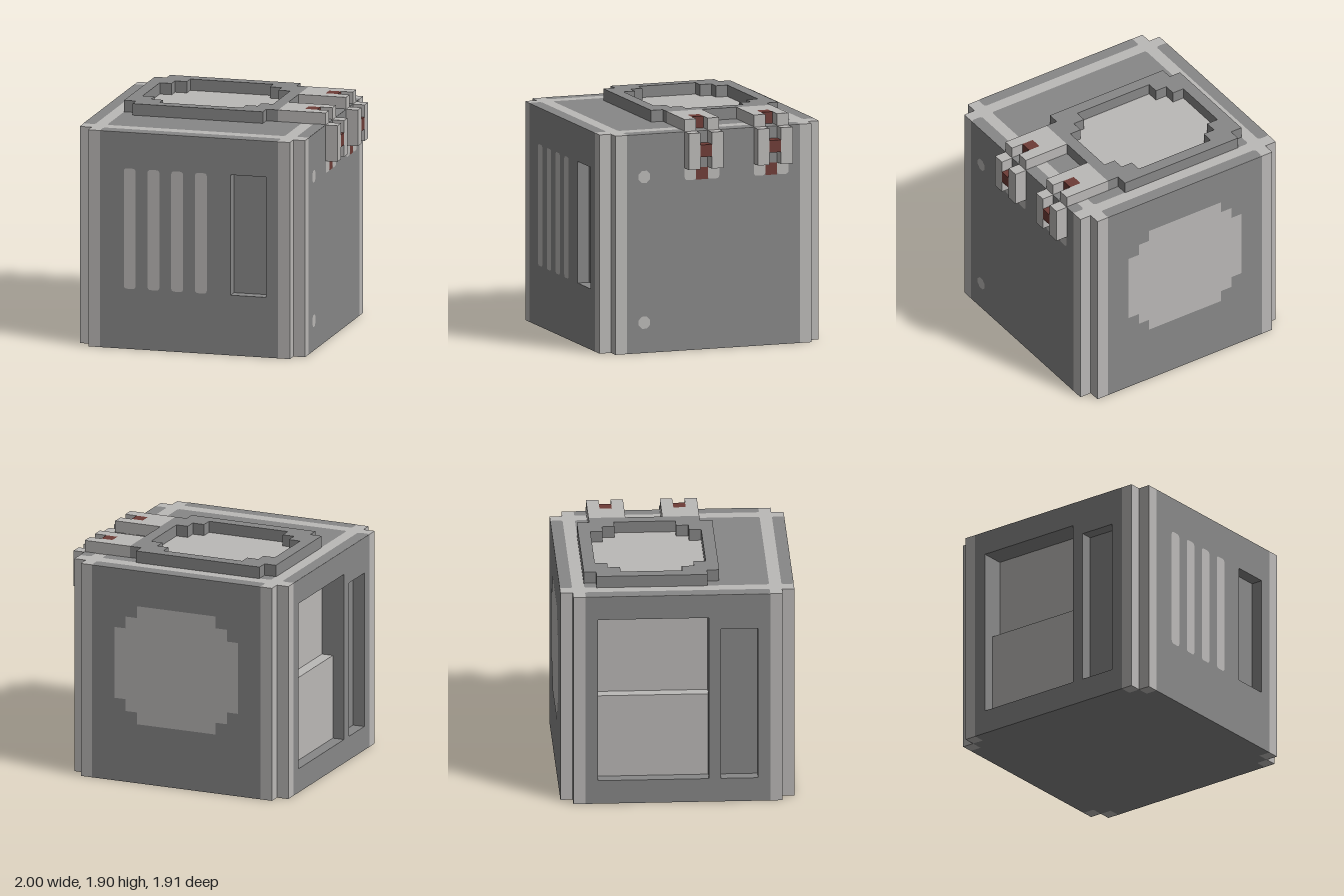
import * as THREE from 'three';

const CX = -0.05; // body centre in x

export function createModel() {
  const model = new THREE.Group();
  model.name = 'voxelMachine';
  const mat = (name, color) => Object.assign(new THREE.MeshStandardMaterial({ color }), { name });
  const grey = mat('midGrey', 0x888888);
  const light = mat('lightGrey', 0xbbb9b7);
  const red = mat('darkRed', 0x6e3c36);

  const add = (name, geometry, material) => {
    const mesh = new THREE.Mesh(geometry, material);
    mesh.name = name;
    model.add(mesh);
  };
  // Box given by its lower and upper corners
  const box = (name, material, x0, x1, y0, y1, z0, z1) => {
    const g = new THREE.BoxGeometry(x1 - x0, y1 - y0, z1 - z0);
    add(name, g.translate((x0 + x1) / 2, (y0 + y1) / 2, (z0 + z1) / 2), material);
  };
  // Flat (depth 0) or extruded shape lying on one side, at a distance along its normal
  const onSide = (name, material, side, shape, offset, depth = 0) => {
    const g = depth
      ? new THREE.ExtrudeGeometry(shape, { depth, bevelEnabled: false })
      : new THREE.ShapeGeometry(shape, 4);
    g.translate(0, 0, offset);
    if (side === 'top') g.rotateX(-Math.PI / 2);
    else g.rotateY({ front: 0, right: Math.PI / 2, back: Math.PI, left: -Math.PI / 2 }[side]);
    add(name, g, material);
  };

  const rect = (x0, x1, y0, y1) => new THREE.Shape([
    new THREE.Vector2(x0, y0), new THREE.Vector2(x1, y0),
    new THREE.Vector2(x1, y1), new THREE.Vector2(x0, y1)]);
  const rounded = (x0, x1, y0, y1, r = 0.025) => {
    const s = new THREE.Shape();
    s.absarc(x1 - r, y1 - r, r, 0, Math.PI / 2);
    s.absarc(x0 + r, y1 - r, r, Math.PI / 2, Math.PI);
    s.absarc(x0 + r, y0 + r, r, Math.PI, Math.PI * 1.5);
    s.absarc(x1 - r, y0 + r, r, Math.PI * 1.5, Math.PI * 2);
    s.closePath();
    return s;
  };
  // Rectangle whose corners are cut into n steps of 0.1
  const stepped = (cx, cy, hw, hh, n) => {
    const q = [];
    for (let k = 0; k <= n; k++) {
      const y = hh - (n - k) * 0.1;
      q.push([hw - k * 0.1, y]);
      if (k < n) q.push([hw - (k + 1) * 0.1, y]);
    }
    const r = [...q].reverse();
    const pts = [
      ...q, ...r.map(([x, y]) => [-x, y]),
      ...q.map(([x, y]) => [-x, -y]), ...r.map(([x, y]) => [x, -y])];
    return new THREE.Shape(pts.map(([x, y]) => new THREE.Vector2(cx + x, cy + y)));
  };

  // Body core and plain side panels
  box('bodyCore', grey, -0.8, 0.8, 0, 1.8, -0.85, 0.85);
  box('backPanel', grey, -0.8, 0.7, 0, 1.8, -0.95, -0.85);
  box('rightPanel', grey, 0.8, 0.9, 0, 1.8, -0.75, 0.75);

  // Front panel with a tall recess
  const front = rect(-0.8, 0.7, 0, 1.8);
  front.holes.push(rect(0.3, 0.6, 0.5, 1.5));
  onSide('frontPanel', grey, 'front', front, 0.85, 0.1);

  // Left panels: a deep bay with a shelf, and a narrow recess
  const bay = () => rect(-0.65, 0.25, 0.2, 1.6);
  const inner = rect(-0.85, 0.85, 0, 1.8);
  inner.holes.push(bay());
  onSide('leftInnerPanel', grey, 'left', inner, 0.8, 0.1);
  const outer = rect(-0.75, 0.75, 0, 1.8);
  outer.holes.push(bay(), rect(0.35, 0.65, 0.2, 1.5));
  onSide('leftOuterPanel', grey, 'left', outer, 0.9, 0.1);
  box('bayShelf', light, -0.9, -0.8, 0.2, 0.9, -0.65, 0.25);
  onSide('bayBack', light, 'left', rect(-0.65, 0.25, 0.9, 1.6), 0.803);

  // Stepped corner posts
  for (const sx of [-1, 1]) for (const sz of [-1, 1]) {
    for (const [dx, dz] of [[0.9, 0.8], [0.8, 0.9]]) {
      const x = CX + sx * dx, z = sz * dz;
      box('cornerPost', light, x - 0.05, x + 0.05, 0, 1.8, z - 0.05, z + 0.05);
    }
  }

  // Top frame with grey fields
  onSide('topFrame', light, 'top', stepped(CX, 0, 0.95, 0.95, 1), 1.802);
  const fields = [
    [-0.8, 0.7, -0.75, 0.75], [-1, -0.9, -0.75, 0.75], [0.8, 0.9, -0.75, 0.75],
    [-0.8, 0.7, 0.85, 0.95], [-0.8, 0.7, -0.95, -0.85]];
  for (const f of fields) onSide('topField', grey, 'top', rounded(...f), 1.804);

  // Raised ring around a light hatch
  const ring = stepped(-0.15, 0.2, 0.65, 0.55, 1);
  ring.holes.push(stepped(-0.15, 0.2, 0.55, 0.45, 2));
  onSide('hatchRing', grey, 'top', ring, 1.8, 0.1);
  onSide('hatch', light, 'top', stepped(-0.15, 0.2, 0.55, 0.45, 2), 1.806);

  // Painted vents, back plate and rivets
  for (let i = 0; i < 4; i++) {
    const x = -0.6 + i * 0.2;
    onSide('ventSlot', light, 'front', rounded(x, x + 0.1, 0.5, 1.5), 0.953);
  }
  onSide('backPlate', light, 'back', stepped(-CX, 1, 0.55, 0.5, 2), 0.953);
  for (const y of [0.25, 1.45]) {
    const dot = new THREE.CircleGeometry(0.054, 8, Math.PI / 8);
    add('rivet', dot.rotateY(Math.PI / 2).translate(0.903, y, 0.6), light);
  }

  // Two hinge clamps folding over the right edge
  for (const z of [-0.5, 0.1]) {
    box('clampPlate', light, 0.5, 0.7, 1.8, 1.9, z - 0.15, z + 0.15);
    box('clampTopPin', red, 0.7, 0.8, 1.8, 1.9, z - 0.05, z + 0.05);
    box('clampSidePin', red, 0.9, 1, 1.6, 1.7, z - 0.05, z + 0.05);
    onSide('clampLowerMark', red, 'right', rect(-z - 0.05, -z + 0.05, 1.4, 1.5), 0.903);
    for (const c of [z - 0.1, z + 0.1]) {
      box('clampRail', light, 0.7, 0.9, 1.8, 1.9, c - 0.05, c + 0.05);
      box('clampProng', light, 0.9, 1, 1.5, 1.8, c - 0.05, c + 0.05);
      onSide('clampFoot', light, 'right', rounded(-c - 0.05, -c + 0.05, 1.4, 1.52), 0.903);
    }
  }
  return model;
}
